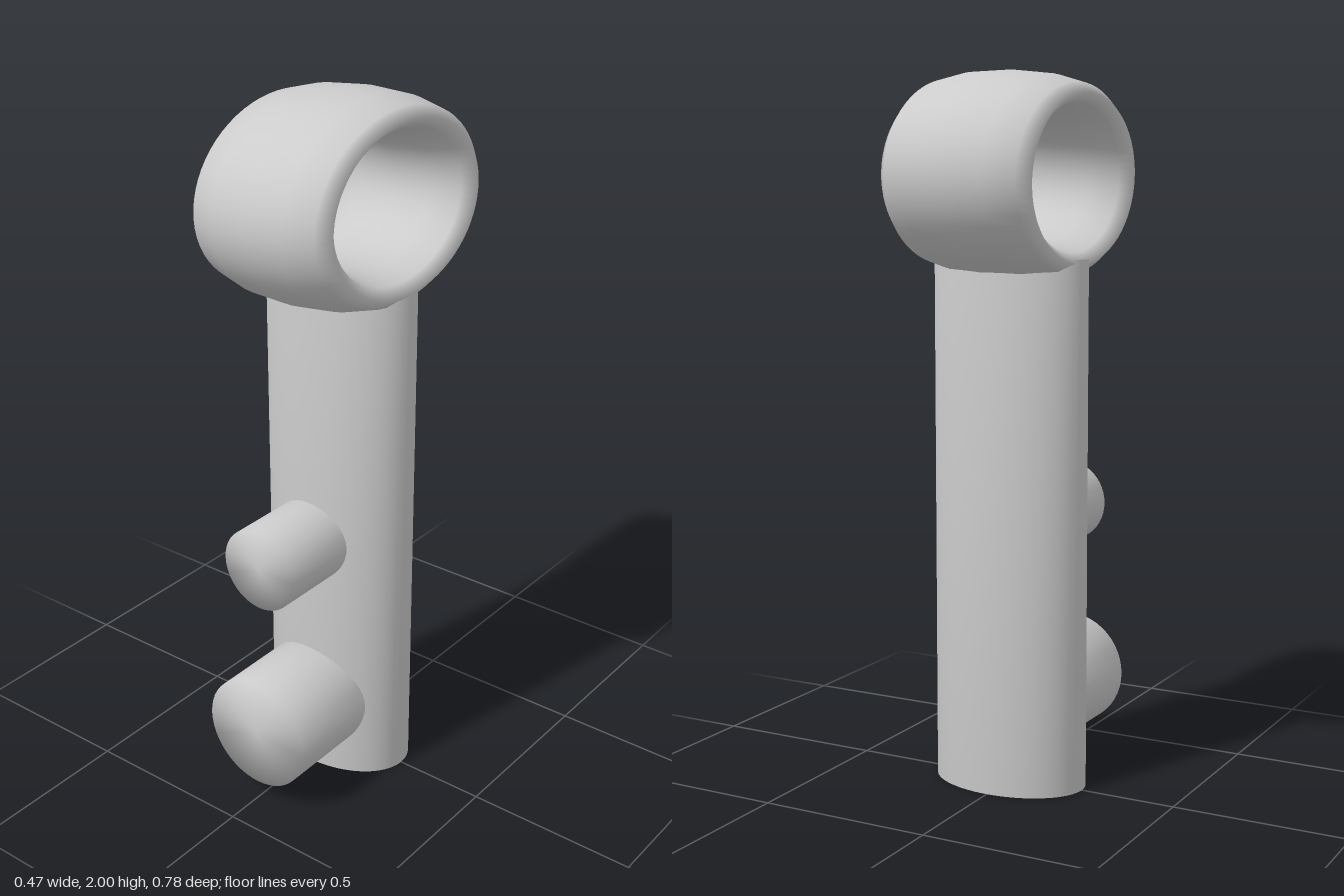
import * as THREE from 'three';
import { mergeVertices } from 'three/addons/utils/BufferGeometryUtils.js';

const material = new THREE.MeshStandardMaterial({ color: 0xcccccc });

// Cylinder whose normals blend softly from the side into the caps
function softCylinder(radius, height) {
  const cylinder = new THREE.CylinderGeometry(radius, radius, height, 48);
  cylinder.deleteAttribute('normal');
  cylinder.deleteAttribute('uv');
  const geometry = mergeVertices(cylinder, 1e-5);
  geometry.computeVertexNormals();
  return geometry;
}

export function createModel() {
  const model = new THREE.Group();
  model.name = 'key';

  function add(name, geometry, x, y, z) {
    const mesh = new THREE.Mesh(geometry, material);
    mesh.name = name;
    mesh.position.set(x, y, z);
    model.add(mesh);
    return mesh;
  }

  // Oval shaft, its top buried in the bow
  const shaftHeight = 1.49;
  const shaft = softCylinder(1, shaftHeight).scale(0.227, 1, 0.155);
  add('shaft', shaft, 0.005, shaftHeight / 2, 0);

  // Wide oval ring, leaning slightly sideways
  const ring = new THREE.TorusGeometry(0.315, 0.076, 12, 64);
  ring.scale(1, 0.724, 2.96).rotateY(Math.PI / 2);
  add('bow', ring, 0, 1.717, 0).rotation.z = 0.047;

  // Round teeth pointing forward from the shaft's core
  const teeth = [
    { name: 'upperTooth', radius: 0.12, y: 0.755, end: 0.365 },
    { name: 'lowerTooth', radius: 0.168, y: 0.231, end: 0.393 },
  ];
  for (const { name, radius, y, end } of teeth) {
    add(name, softCylinder(radius, end).rotateX(Math.PI / 2), 0.005, y, end / 2);
  }

  return model;
}
